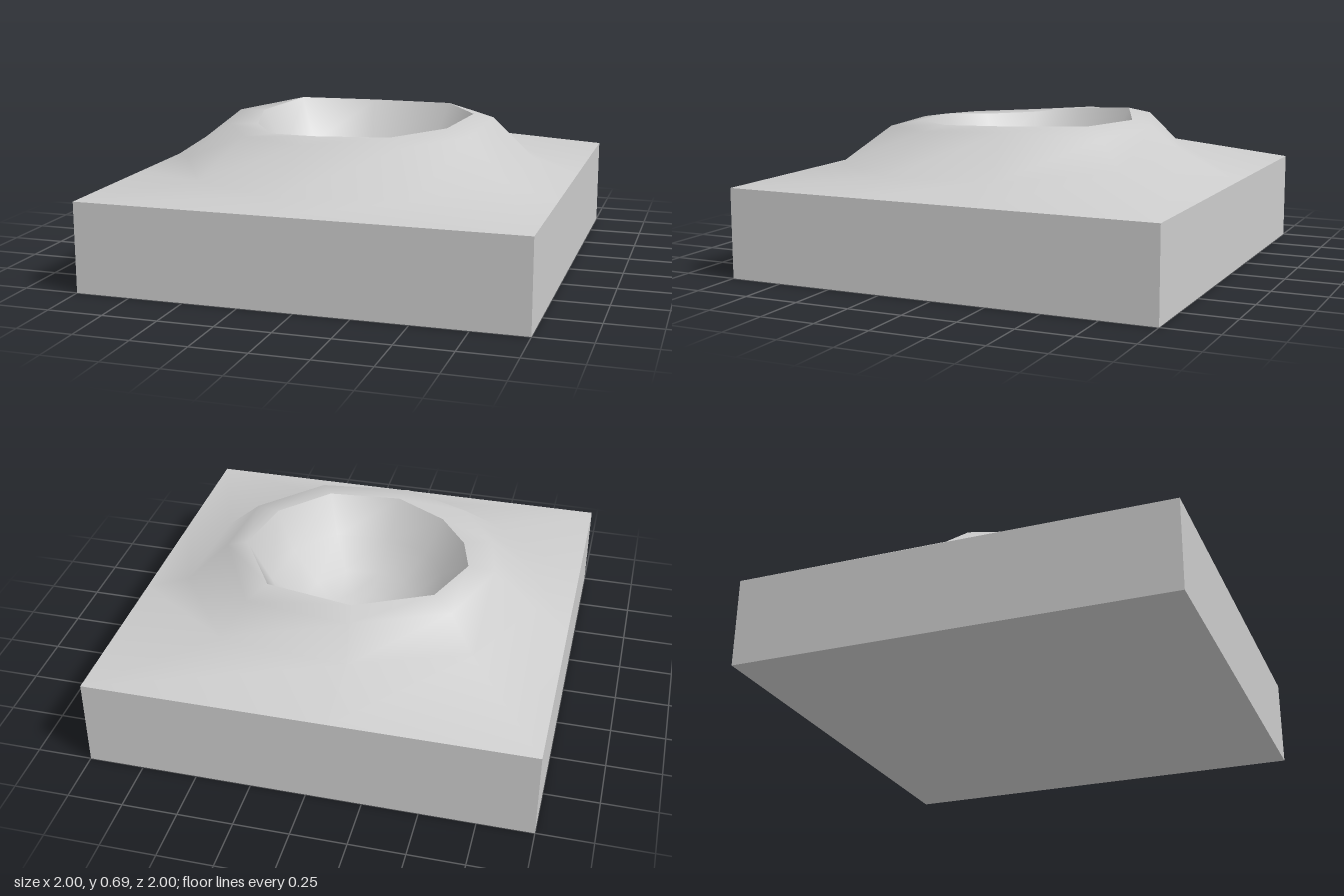
import * as THREE from 'three';

const TOP = 0.41;

// One row per spoke, clockwise from the back:
// rim x, z, y | shoulder scale, y | foot scale, y | edge x, z
const SPOKES = [
  [-0.08, -0.49, 0.67, 1.19, 0.64, 1.48, 0.53, -0.1, -1],
  [0.32, -0.43, 0.68, 1.22, 0.64, 1.5, 0.51, 1, -1],
  [0.51, -0.12, 0.685, 1.18, 0.67, 1.55, 0.48, 1, -0.2],
  [0.46, 0.21, 0.67, 1.26, 0.65, 1.66, 0.47, 1, 0.4],
  [0.26, 0.45, 0.66, 1.26, 0.635, 1.72, 0.46, 1, 1],
  [-0.08, 0.49, 0.655, 1.26, 0.635, 1.72, 0.45, -0.1, 1],
  [-0.32, 0.38, 0.635, 1.28, 0.635, 1.75, 0.46, -1, 1],
  [-0.46, 0.18, 0.64, 1.27, 0.64, 1.68, 0.48, -1, 0.35],
  [-0.52, -0.05, 0.665, 1.24, 0.66, 1.62, 0.51, -1, -0.1],
  [-0.42, -0.35, 0.688, 1.22, 0.66, 1.5, 0.52, -1, -1],
];

// Smooth skin over closed rings, listed from the outside in
function loft(rings) {
  const n = rings[0].length;
  const index = [];
  for (let i = 0; i < rings.length - 1; i++) {
    for (let j = 0; j < n; j++) {
      const k = (j + 1) % n;
      const a = i * n + j, b = i * n + k;
      index.push(a, a + n, b, b, a + n, b + n);
    }
  }
  const g = new THREE.BufferGeometry();
  g.setAttribute('position', new THREE.Float32BufferAttribute(rings.flat(2), 3));
  g.setIndex(index);
  g.computeVertexNormals();
  return g;
}

export function createModel() {
  const group = new THREE.Group();
  const smooth = new THREE.MeshStandardMaterial({ color: 0xcccccc, side: THREE.DoubleSide });
  const flat = new THREE.MeshStandardMaterial({ color: 0xcccccc, flatShading: true });
  const add = (name, geometry, material) => {
    const mesh = new THREE.Mesh(geometry, material);
    mesh.name = name;
    group.add(mesh);
  };

  // Square block, open on top where the ground begins
  const walls = new THREE.CylinderGeometry(Math.SQRT2, Math.SQRT2, TOP, 4, 1, true);
  add('blockSides', walls.rotateY(Math.PI / 4).translate(0, TOP / 2, 0), flat);
  add('blockBottom', new THREE.PlaneGeometry(2, 2).rotateX(Math.PI / 2), flat);

  // Ground rising from the square edge to the crater rim
  const edge = SPOKES.map((s) => [s[7], TOP, s[8]]);
  const foot = SPOKES.map((s) => [s[0] * s[5], s[6], s[1] * s[5]]);
  const shoulder = SPOKES.map((s) => [s[0] * s[3], s[4], s[1] * s[3]]);
  const rim = SPOKES.map((s) => [s[0], s[2], s[1]]);
  add('outerSlope', loft([edge, foot, shoulder, rim]), smooth);

  // Rounded bowl inside the rim
  const bowl = [[0.8, 0.48], [0.52, 0.36], [0.25, 0.31], [0, 0.3]].map(([scale, y]) =>
    SPOKES.map((s) => [s[0] * scale, y, s[1] * scale]));
  add('craterBowl', loft([rim, ...bowl]), smooth);

  return group;
}
